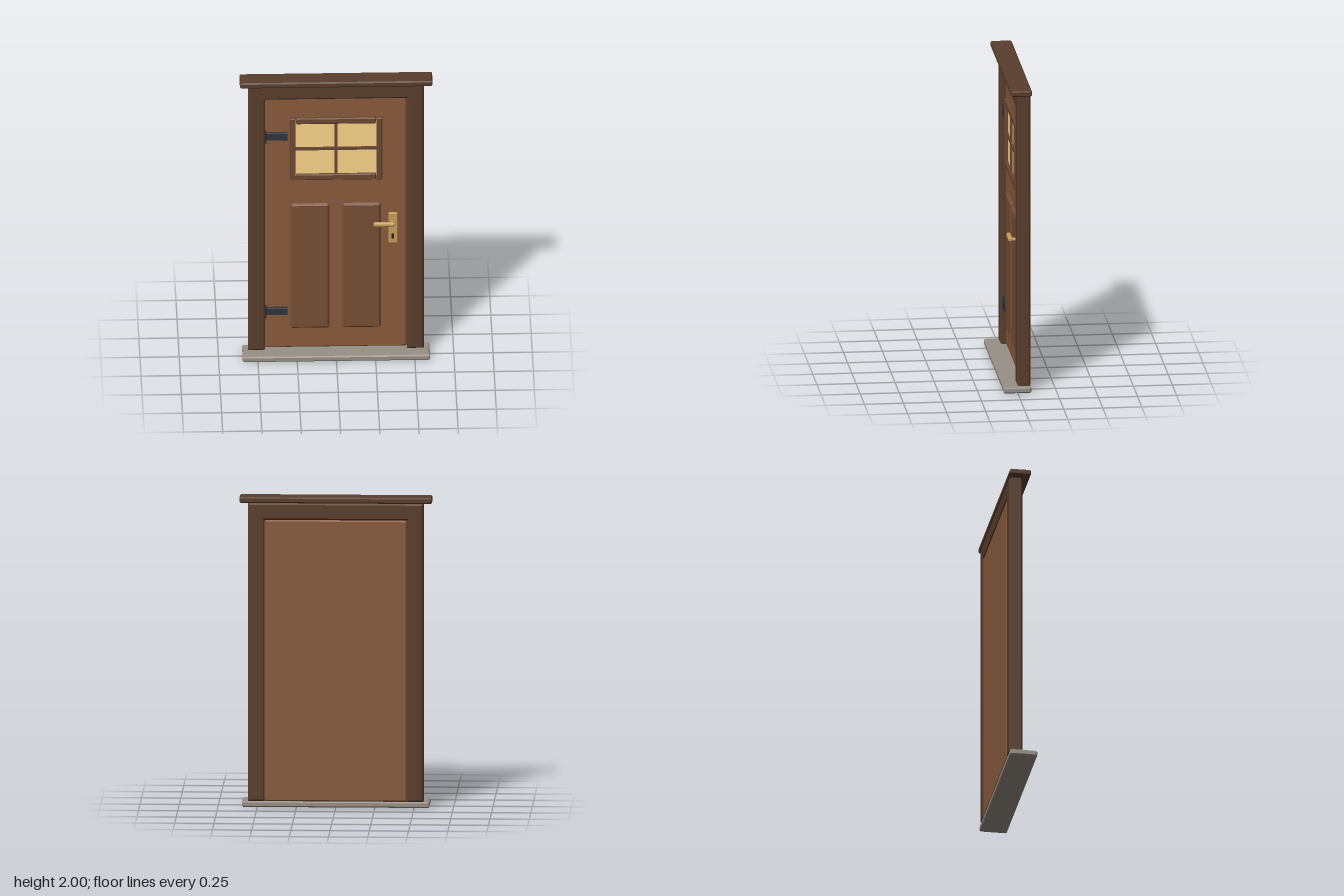
import * as THREE from 'three';
import { ConvexGeometry } from 'three/addons/geometries/ConvexGeometry.js';

const mat = (color) => new THREE.MeshStandardMaterial({ color });
const frameMat = mat(0x593e2c), leafMat = mat(0x8a5c3d), panelMat = mat(0x784f36);
const trimMat = mat(0x6d4833), stoneMat = mat(0x979087), glassMat = mat(0xfbd68a);
const brassMat = mat(0xc6a058), ironMat = mat(0x30353d), darkMat = mat(0x221d18);

// Box given by its limits, with every edge chamfered by c
function block(name, material, [x0, x1], [y0, y1], [z0, z1], c = 0) {
  const a = (x1 - x0) / 2, b = (y1 - y0) / 2, d = (z1 - z0) / 2;
  let geometry;
  if (c > 0) {
    const points = [];
    for (const i of [-1, 1]) for (const j of [-1, 1]) for (const k of [-1, 1]) {
      points.push(
        new THREE.Vector3(i * a, j * (b - c), k * (d - c)),
        new THREE.Vector3(i * (a - c), j * b, k * (d - c)),
        new THREE.Vector3(i * (a - c), j * (b - c), k * d));
    }
    geometry = new ConvexGeometry(points);
  } else {
    geometry = new THREE.BoxGeometry(2 * a, 2 * b, 2 * d);
  }
  const mesh = new THREE.Mesh(geometry, material);
  mesh.name = name;
  mesh.position.set((x0 + x1) / 2, (y0 + y1) / 2, (z0 + z1) / 2);
  return mesh;
}

// Jambs and header as one bevelled arch
function makeFrame() {
  const bevel = 0.012, depth = 0.087;
  const outline = [[-0.56, 0.036], [-0.452, 0.036], [-0.452, 1.852], [0.452, 1.852],
    [0.452, 0.036], [0.56, 0.036], [0.56, 1.963], [-0.56, 1.963]];
  const shape = new THREE.Shape(outline.map(([x, y]) => new THREE.Vector2(x, y)));
  const geometry = new THREE.ExtrudeGeometry(shape, {
    depth: depth - 2 * bevel, bevelEnabled: true, bevelSegments: 1,
    bevelSize: bevel, bevelThickness: bevel, bevelOffset: -bevel,
  });
  geometry.translate(0, 0, bevel - depth);
  const mesh = new THREE.Mesh(geometry, frameMat);
  mesh.name = 'doorFrame';
  return mesh;
}

function makeWindow() {
  const g = new THREE.Group();
  g.name = 'window';
  g.add(block('glass', glassMat, [-0.27, 0.268], [1.285, 1.685], [-0.045, -0.028]));
  for (const x of [-0.277, 0.277]) {
    g.add(block('windowStile', trimMat, [x - 0.02, x + 0.02], [1.26, 1.709], [-0.045, -0.008], 0.006));
  }
  for (const y of [1.283, 1.689]) {
    g.add(block('windowRail', trimMat, [-0.255, 0.255], [y - 0.021, y + 0.021], [-0.045, -0.01], 0.006));
  }
  g.add(block('verticalBar', trimMat, [-0.008, 0.008], [1.3, 1.68], [-0.04, -0.016]));
  g.add(block('horizontalBar', trimMat, [-0.26, 0.258], [1.477, 1.496], [-0.04, -0.017]));
  return g;
}

function makeHinge(y) {
  const g = new THREE.Group();
  g.name = 'hinge';
  g.add(block('hingeStrap', ironMat, [-0.452, -0.308], [y - 0.026, y + 0.026], [-0.04, -0.017], 0.003));
  const pin = new THREE.Mesh(new THREE.CylinderGeometry(0.008, 0.008, 0.092, 10), ironMat);
  pin.name = 'hingePin';
  pin.position.set(-0.451, y, -0.02);
  g.add(pin);
  return g;
}

function makeHandle() {
  const g = new THREE.Group();
  g.name = 'handle';
  g.add(block('handlePlate', brassMat, [0.335, 0.391], [0.797, 1.011], [-0.045, -0.015], 0.004));
  const neck = new THREE.Mesh(new THREE.CylinderGeometry(0.012, 0.012, 0.044, 12), brassMat);
  neck.name = 'handleNeck';
  neck.rotation.x = Math.PI / 2;
  neck.position.set(0.36, 0.954, 0);
  g.add(neck);
  g.add(block('lever', brassMat, [0.238, 0.375], [0.94, 0.968], [0.008, 0.036], 0.008));
  g.add(block('keyhole', darkMat, [0.354, 0.369], [0.83, 0.867], [-0.025, -0.0135]));
  return g;
}

export function createModel() {
  const model = new THREE.Group();
  model.name = 'door';

  // Surround
  model.add(block('sill', stoneMat, [-0.597, 0.597], [0, 0.038], [-0.087, 0.09], 0.008));
  model.add(block('cap', frameMat, [-0.614, 0.614], [1.962, 2], [-0.09, 0.045], 0.008));
  model.add(makeFrame());

  // Leaf, flush with the back of the frame, with two raised panels
  model.add(block('doorLeaf', leafMat, [-0.456, 0.456], [0.035, 1.856], [-0.085, -0.036], 0.012));
  for (const x of [-0.165, 0.163]) {
    model.add(block('raisedPanel', panelMat, [x - 0.125, x + 0.125], [0.183, 1.085], [-0.06, -0.018], 0.013));
  }

  // Fittings
  model.add(makeWindow());
  for (const y of [0.309, 1.576]) model.add(makeHinge(y));
  model.add(makeHandle());
  return model;
}
